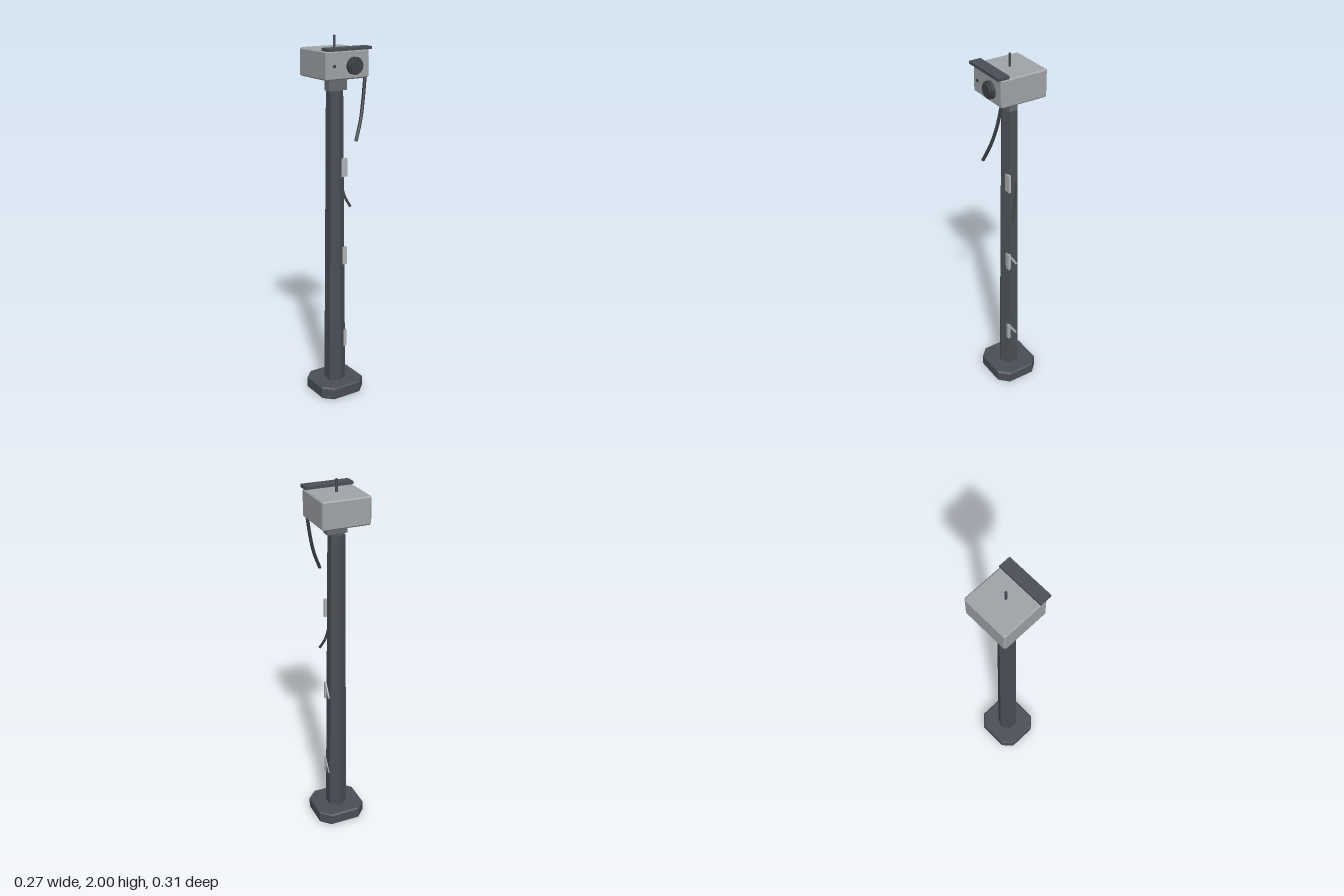
import * as THREE from 'three';

const mat = (name, color) => {
  const m = new THREE.MeshStandardMaterial({ color });
  m.name = name;
  return m;
};

export function createModel() {
  const group = new THREE.Group();
  const housingGrey = mat('housing grey', 0xa0a4a8);
  const poleGrey = mat('pole grey', 0x4a4f56);
  const bracketGrey = mat('bracket grey', 0x666b71);
  const lensDark = mat('lens dark', 0x3f444a);
  const cableDark = mat('cable dark', 0x3b3f44);
  const clipGrey = mat('clip grey', 0xb0b3b6);

  // Adds a faceted mesh
  const add = (name, geometry, material, x = 0, y = 0, z = 0) => {
    const g = geometry.index ? geometry.toNonIndexed() : geometry;
    g.computeVertexNormals();
    const mesh = new THREE.Mesh(g, material);
    mesh.name = name;
    mesh.position.set(x, y, z);
    group.add(mesh);
    return mesh;
  };

  // Block with cut vertical corners and bevelled top and bottom edges, standing on y = 0
  const chamferedBlock = (w, h, d, cut, b) => {
    const x = w / 2 - b, z = d / 2 - b, c = cut - b * (2 - Math.SQRT2);
    const shape = new THREE.Shape([
      [x, -z + c], [x, z - c], [x - c, z], [-x + c, z],
      [-x, z - c], [-x, -z + c], [-x + c, -z], [x - c, -z],
    ].map(([u, v]) => new THREE.Vector2(u, v)));
    return new THREE.ExtrudeGeometry(shape, {
      depth: h - 2 * b, bevelEnabled: true, bevelSegments: 1, bevelSize: b, bevelThickness: b,
    }).translate(0, 0, b).rotateX(-Math.PI / 2);
  };

  // Base and tapered six-sided pole
  add('base', chamferedBlock(0.274, 0.07, 0.26, 0.052, 0.007), poleGrey, 0, 0, -0.022);
  add('pole', new THREE.CylinderGeometry(0.045, 0.06, 1.66, 6), poleGrey, 0, 0.89, -0.022);

  // Camera housing on its bracket
  add('mountBracket', new THREE.BoxGeometry(0.11, 0.063, 0.046), bracketGrey, 0, 1.7535, -0.01);
  add('housing', chamferedBlock(0.26, 0.145, 0.262, 0.009, 0.007), housingGrey, 0, 1.79, -0.026);
  add('sunVisor', new THREE.BoxGeometry(0.26, 0.015, 0.064), poleGrey, 0, 1.9425, 0.093);
  add('antenna', new THREE.CylinderGeometry(0.007, 0.007, 0.07, 6), poleGrey, 0, 1.965, -0.024);

  // Lens in two steps, and the small sensor beside it
  const disc = (r, depth) => new THREE.CylinderGeometry(r, r, depth, 16).rotateX(Math.PI / 2);
  add('lensBarrel', disc(0.045, 0.024), lensDark, 0.033, 1.857, 0.112);
  add('lensFront', disc(0.036, 0.012), lensDark, 0.033, 1.857, 0.127);
  add('sensor', new THREE.BoxGeometry(0.014, 0.014, 0.008), lensDark, -0.084, 1.86, 0.107);

  // Loose cables with closed ends
  const cable = (name, points, r) => {
    const curve = new THREE.CatmullRomCurve3(points.map((p) => new THREE.Vector3(...p)));
    add(name, new THREE.TubeGeometry(curve, 14, r, 6), cableDark);
    for (const t of [0, 1]) {
      const cap = add(name + 'End', new THREE.CircleGeometry(r, 6), cableDark);
      const p = curve.getPoint(t);
      cap.position.copy(p);
      cap.lookAt(p.clone().addScaledVector(curve.getTangent(t), t ? 1 : -1));
    }
  };
  cable('upperCable', [[0.11, 1.8, 0.094], [0.089, 1.68, 0.108], [0.062, 1.58, 0.126], [0.02, 1.48, 0.147]], 0.009);
  cable('lowerCable', [[0.035, 1.32, -0.04], [0.046, 1.22, -0.03], [0.06, 1.14, -0.013], [0.083, 1.085, 0.007]], 0.007);

  // Cable clips up the pole; the lower two have a slanted strap along the side
  [0.315, 0.813, 1.31].forEach((y, i) => {
    add('clip', new THREE.BoxGeometry(0.046, 0.1, 0.014), clipGrey, 0.033, y, 0.009);
    if (i < 2) {
      const strap = add('clipStrap', new THREE.BoxGeometry(0.014, 0.012, 0.09), clipGrey, 0.047, y + 0.008, -0.014);
      strap.rotation.x = -1.0;
    }
  });

  return group;
}
